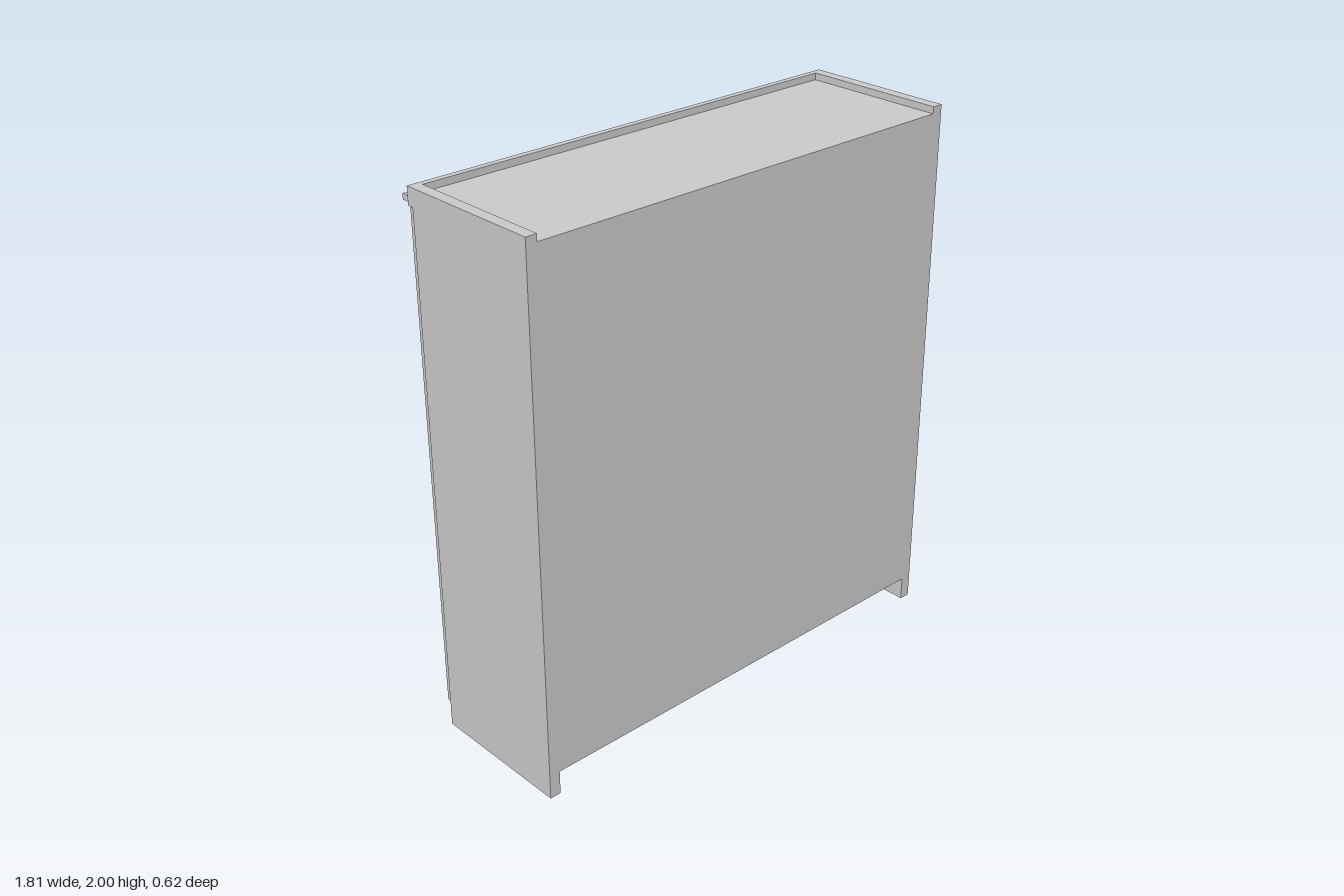
import * as THREE from 'three';

const material = new THREE.MeshStandardMaterial({ color: 0xcccccc });

// Box given by its min/max extents on each axis
function panel(parent, name, [x0, x1], [y0, y1], [z0, z1]) {
  const mesh = new THREE.Mesh(new THREE.BoxGeometry(x1 - x0, y1 - y0, z1 - z0), material);
  mesh.position.set((x0 + x1) / 2, (y0 + y1) / 2, (z0 + z1) / 2);
  mesh.name = name;
  parent.add(mesh);
  return mesh;
}

// Cylinder whose axis runs along z
function disc(parent, name, radius, x, y, z0, z1) {
  const geometry = new THREE.CylinderGeometry(radius, radius, z1 - z0, 24).rotateX(Math.PI / 2);
  const mesh = new THREE.Mesh(geometry, material);
  mesh.position.set(x, y, (z0 + z1) / 2);
  mesh.name = name;
  parent.add(mesh);
}

export function createModel() {
  const cabinet = new THREE.Group();
  cabinet.name = 'cabinet';

  const W = 0.907, inner = 0.865, wall = 0.308, edge = -0.245, doorFace = -0.268;

  // Carcass
  panel(cabinet, 'backPanel', [-inner, inner], [0.09, 1.975], [wall - 0.02, wall]);
  panel(cabinet, 'topPanel', [-inner, inner], [1.935, 1.975], [edge, wall - 0.02]);
  panel(cabinet, 'bottomPanel', [-inner, inner], [0.09, 0.13], [edge, wall - 0.02]);
  panel(cabinet, 'divider', [-0.02, 0.02], [0.13, 1.935], [edge, wall - 0.02]);
  panel(cabinet, 'plinth', [-inner, inner], [0, 0.09], [edge + 0.01, edge + 0.035]);

  // Fascia above the doors with its projecting strip
  panel(cabinet, 'fascia', [-W, W], [1.936, 2], [doorFace, edge]);
  panel(cabinet, 'corniceStrip', [-0.898, 0.898], [1.942, 1.963], [-0.308, doorFace]);

  for (const s of [-1, 1]) {
    const span = (a, b) => (s > 0 ? [a, b] : [-b, -a]);
    panel(cabinet, 'sidePanel', span(inner, W), [0, 2], [edge, wall]);

    const door = new THREE.Group();
    door.name = s > 0 ? 'leftDoor' : 'rightDoor';
    panel(door, 'doorPanel', span(0.008, 0.9), [0.09, 1.93], [doorFace, edge - 0.003]);

    // Bow handle: straight grip with chamfered returns to the door
    const x = s * 0.053;
    const points = [
      [0.938, doorFace], [0.938, -0.281], [0.956, -0.297],
      [1.074, -0.297], [1.092, -0.281], [1.092, doorFace],
    ].map(([y, z]) => new THREE.Vector3(x, y, z));
    const path = new THREE.CurvePath();
    for (let i = 1; i < points.length; i++) path.add(new THREE.LineCurve3(points[i - 1], points[i]));
    const handle = new THREE.Mesh(new THREE.TubeGeometry(path, 60, 0.006, 10), material);
    handle.name = 'handle';
    door.add(handle);
    for (const y of [0.938, 1.092]) disc(door, 'handleFoot', 0.009, x, y, doorFace - 0.004, doorFace);

    // Round lock below the handle
    disc(door, 'lock', 0.018, x, 0.898, -0.291, doorFace);
    cabinet.add(door);
  }
  return cabinet;
}
